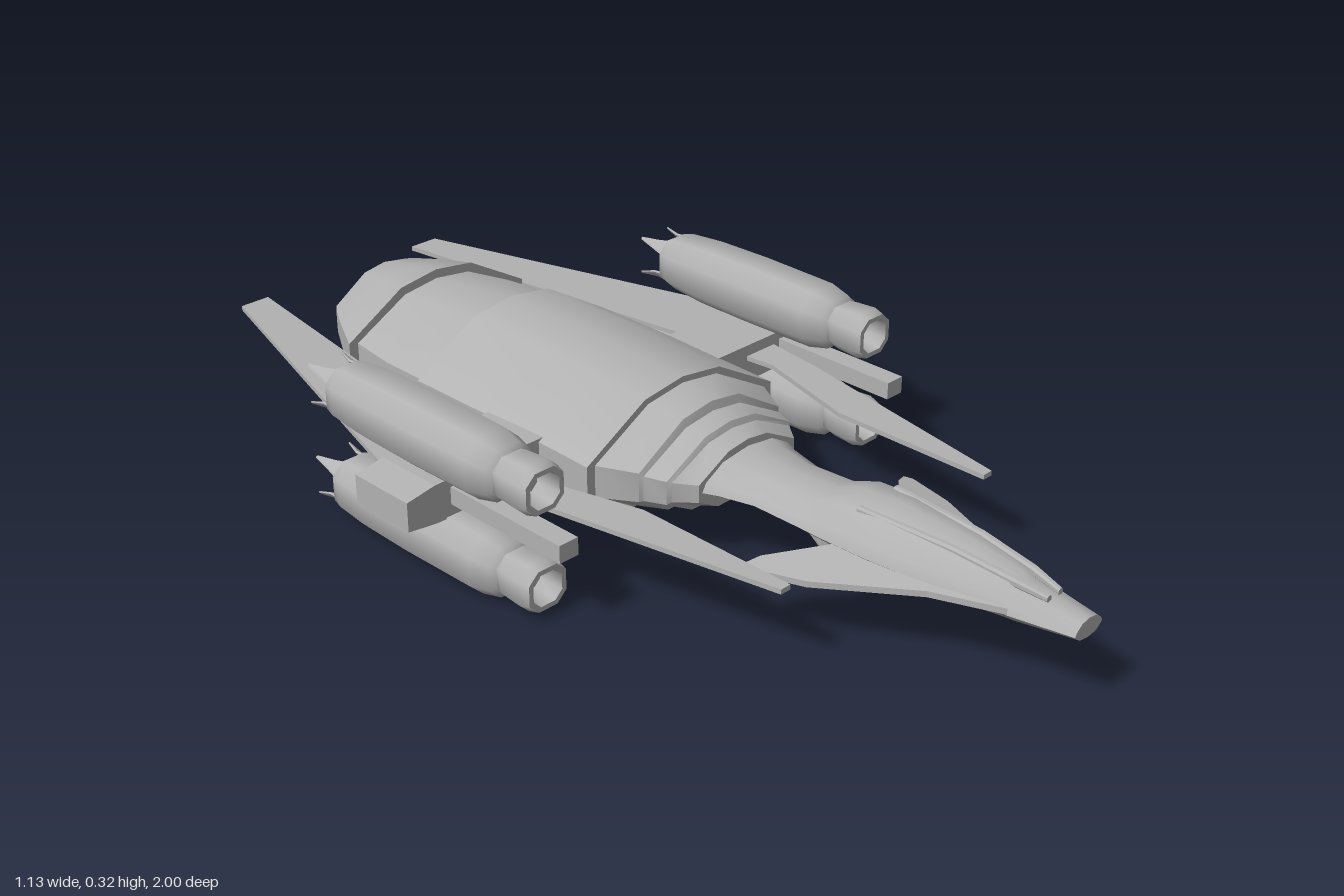
import * as THREE from 'three';
import { toCreasedNormals } from 'three/addons/utils/BufferGeometryUtils.js';

const hullGrey = new THREE.MeshStandardMaterial({ color: 0xb2b2b2 });

// Skin a list of rings (counter-clockwise seen from +z, ordered back to front) and cap both ends
function loft(rings, crease = 0.6) {
  const n = rings[0].length, pos = [], idx = [];
  rings.forEach(r => r.forEach(p => pos.push(...p)));
  for (let i = 0; i < rings.length - 1; i++) {
    for (let j = 0; j < n; j++) {
      const a = i * n + j, b = i * n + (j + 1) % n;
      idx.push(a, b, b + n, a, b + n, a + n);
    }
  }
  const last = (rings.length - 1) * n;
  for (let j = 1; j < n - 1; j++) {
    idx.push(0, j + 1, j);
    idx.push(last, last + j, last + j + 1);
  }
  const g = new THREE.BufferGeometry();
  g.setAttribute('position', new THREE.Float32BufferAttribute(pos, 3));
  g.setIndex(idx);
  return toCreasedNormals(g, crease);
}

// Ring from a right-half outline (bottom to top, u = 0..1 of width, v = 0..1 of height)
function halfRing(half, z, w, top, bottom) {
  const right = half.map(([u, v]) => [u * w, bottom + v * (top - bottom), z]);
  const left = right.filter(p => p[0] > 1e-6).reverse().map(([x, y]) => [-x, y, z]);
  return [...right, ...left];
}

// Flat plate from plan points [x, z], lying between y and y + t
function plate(points, y, t, side) {
  const shape = new THREE.Shape(points.map(([x, z]) => new THREE.Vector2(side * x, -z)));
  const g = new THREE.ExtrudeGeometry(shape, { depth: t, bevelEnabled: false });
  return g.rotateX(-Math.PI / 2).translate(0, y, 0);
}

export function createModel() {
  const ship = new THREE.Group();
  ship.name = 'spaceship';
  const add = (name, geometry, parent = ship) => {
    const m = new THREE.Mesh(geometry, hullGrey);
    m.name = name;
    parent.add(m);
    return m;
  };

  // Main hull: recessed exhaust, tail cap, aft section, body and stepped bow [z, width, top, bottom]
  const hullHalf = [[0.6, 0], [1, 0.25], [1, 0.57], [0.4, 0.94], [0, 1]];
  const hull = [
    [-0.815, 0.085, 0.22, 0.135], [-0.84, 0.10, 0.23, 0.125], [-0.84, 0.135, 0.25, 0.105],
    [-0.82, 0.15, 0.257, 0.1], [-0.74, 0.195, 0.275, 0.08], [-0.66, 0.237, 0.288, 0.066],
    [-0.66, 0.215, 0.268, 0.08], [-0.54, 0.235, 0.285, 0.07], [-0.425, 0.24, 0.295, 0.066],
    [-0.42, 0.25, 0.303, 0.06], [-0.2, 0.25, 0.305, 0.06], [0.07, 0.25, 0.293, 0.062],
    [0.07, 0.23, 0.28, 0.07], [0.145, 0.19, 0.268, 0.08], [0.15, 0.183, 0.25, 0.088],
    [0.195, 0.168, 0.245, 0.095], [0.2, 0.16, 0.232, 0.105], [0.24, 0.13, 0.224, 0.112],
  ];
  add('hull', loft(hull.map(s => halfRing(hullHalf, ...s)), 0.75));

  // Neck and long nose
  const noseHalf = [[0, 0], [0.6, 0.08], [1, 0.4], [0.92, 0.6], [0.55, 0.9], [0, 1]];
  const nose = [
    [0.22, 0.13, 0.212, 0.12], [0.27, 0.108, 0.205, 0.125], [0.34, 0.09, 0.2, 0.13],
    [0.45, 0.093, 0.206, 0.13], [0.51, 0.1, 0.23, 0.122], [0.6, 0.1, 0.236, 0.12],
    [0.75, 0.083, 0.228, 0.122], [0.86, 0.063, 0.213, 0.13], [0.88, 0.06, 0.198, 0.132],
    [1.0, 0.038, 0.183, 0.145],
  ];
  add('nose', loft(nose.map(s => halfRing(noseHalf, ...s)), 0.8));

  // Keel under the nose
  const keelHalf = [[0.6, 0], [1, 0.5], [1, 1]];
  const keel = [[0.44, 0.05, 0.15, 0.1], [0.48, 0.065, 0.16, 0.08], [0.6, 0.065, 0.16, 0.08],
    [0.77, 0.045, 0.16, 0.12]];
  add('keel', loft(keel.map(s => halfRing(keelHalf, ...s))));

  // Crossbar that carries the engines
  const bar = [[0.24, 0.12], [0.5, 0.124], [0.565, 0.132], [0.565, 0.192], [0.5, 0.203], [0.24, 0.203]];
  const barShape = new THREE.Shape([...bar, ...bar.slice().reverse().map(([x, y]) => [-x, y])]
    .map(p => new THREE.Vector2(...p)));
  add('crossbar', new THREE.ExtrudeGeometry(barShape, { depth: 0.15, bevelEnabled: false })
    .translate(0, 0, -0.212));

  // Engine pod, a chamfered square section with open ends [z, radius]
  const chamfer = [[1, -0.5], [1, 0.5], [0.5, 1], [-0.5, 1], [-1, 0.5], [-1, -0.5], [-0.5, -1], [0.5, -1]];
  const podSections = [
    [-0.33, 0.032], [-0.385, 0.045], [-0.385, 0.052], [-0.36, 0.058], [-0.28, 0.064],
    [-0.15, 0.066], [0.03, 0.064], [0.075, 0.054], [0.085, 0.044], [0.1, 0.047],
    [0.15, 0.05], [0.172, 0.044], [0.172, 0.034], [0.12, 0.028],
  ];
  const square = (cx, cy, z, r, ry = r) => chamfer.map(([x, y]) => [cx + x * r, cy + y * ry, z]);
  const pod = loft(podSections.map(([z, r]) => square(0, 0, z, r, r * 0.95)), 0.9);
  // Broad pointed claw that sweeps back and flares from the pod's rear rim
  const claw = loft([square(0.056, 0, -0.45, 0.002, 0.003), square(0.047, 0, -0.41, 0.004, 0.012),
    square(0.047, 0, -0.35, 0.006, 0.026)]);

  for (const side of [1, -1]) {
    const label = side > 0 ? 'left' : 'right';
    for (const y of [0.263, 0.065]) {
      const engine = new THREE.Group();
      engine.name = label + (y > 0.2 ? 'UpperEngine' : 'LowerEngine');
      engine.position.set(side * 0.443, y, 0);
      add('pod', pod, engine);
      for (let k = 0; k < 4; k++) add('claw', claw, engine).rotation.z = Math.PI / 4 + k * Math.PI / 2;
      ship.add(engine);
    }

    // Slim gun between the paired engines
    add(label + 'Gun', new THREE.BoxGeometry(0.044, 0.036, 0.33).translate(side * 0.443, 0.168, 0.065));

    // Long blades fore and aft of the crossbar
    add(label + 'RearBlade', plate([[0.2, -1], [0.268, -1], [0.5, -0.2], [0.535, -0.1], [0.3, -0.1],
      [0.31, -0.21]], 0.169, 0.01, side));
    add(label + 'FrontBlade', plate([[0.32, -0.1], [0.41, -0.1], [0.385, 0.08], [0.289, 0.585],
      [0.266, 0.585], [0.266, 0.235], [0.33, 0.0]], 0.169, 0.01, side));

    // Drooping nose fin, sheared downwards away from the nose
    const fin = plate([[0.06, 0.56], [0.1, 0.53], [0.19, 0.448], [0.218, 0.438], [0.225, 0.455],
      [0.195, 0.56], [0.1, 0.745], [0.06, 0.88]], 0.16, 0.012, side);
    const p = fin.attributes.position;
    for (let i = 0; i < p.count; i++) {
      p.setY(i, p.getY(i) - Math.max(0, Math.abs(p.getX(i)) - 0.06) * 0.22);
    }
    fin.computeVertexNormals();
    add(label + 'NoseFin', fin);

    // Canopy rail ending in a prong
    const rail = [[0.55, 0.05, 0.222, 0.007], [0.75, 0.037, 0.218, 0.008], [0.87, 0.026, 0.204, 0.008],
      [0.93, 0.016, 0.194, 0.006]];
    add(label + 'CanopyRail', loft(rail.map(([z, x, y, r]) => square(side * x, y, z, r))));
  }
  return ship;
}
